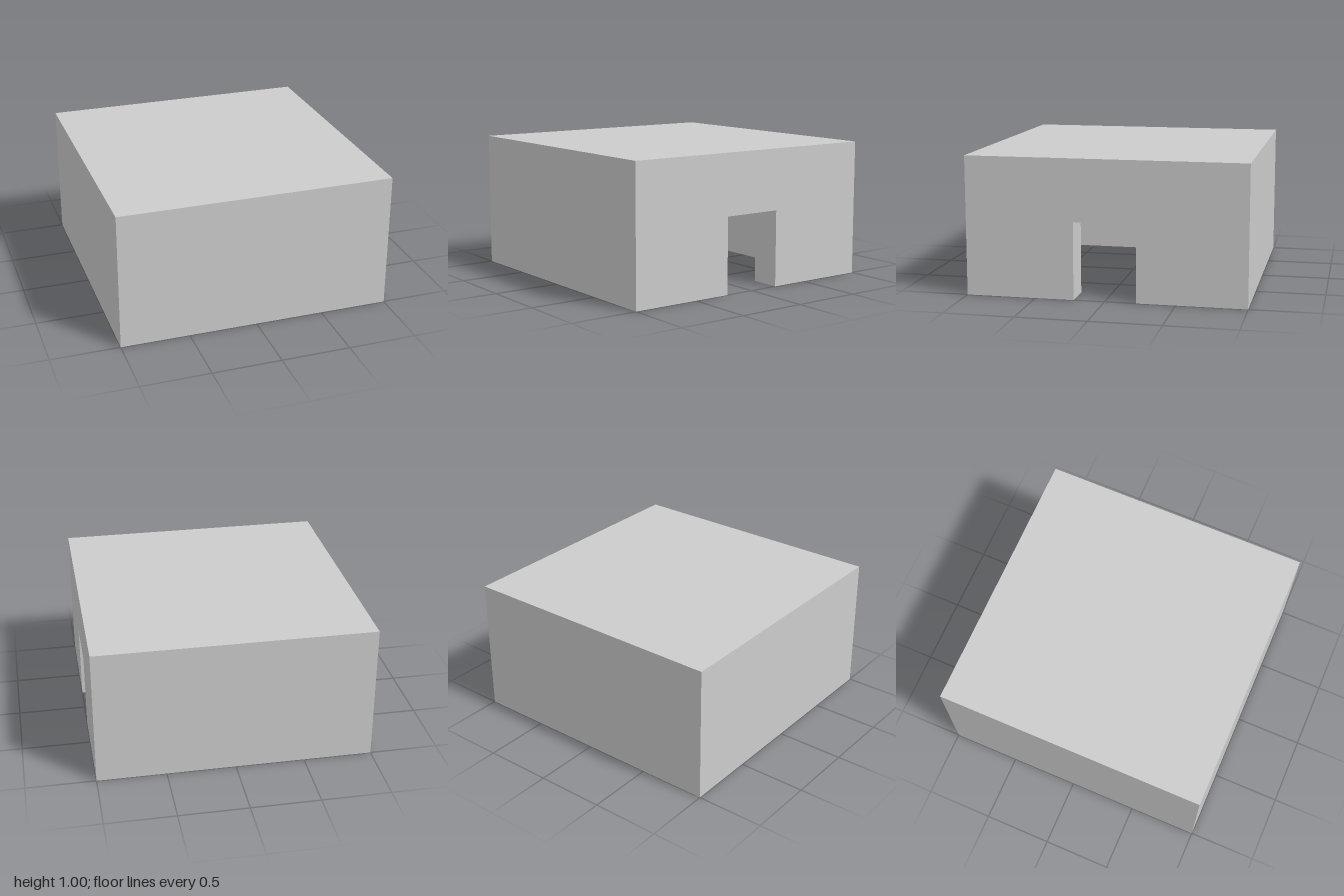
import * as THREE from 'three';
import { mergeGeometries } from 'three/addons/utils/BufferGeometryUtils.js';

const U = 2 / 9;              // wall and roof thickness
const HALF = 1;               // outer half width
const INNER = HALF - U;       // inner half width
const HEIGHT = 1;
const CEILING = HEIGHT - U;
const DOOR_HALF = U;
const DOOR_HEIGHT = 2.5 * U;

// Flat face from outline points in the xy plane, facing +z
function face(points) {
  return new THREE.ShapeGeometry(new THREE.Shape(points.map(([x, y]) => new THREE.Vector2(x, y))));
}

// Upright wall face standing on y = 0, with a doorway notch if wanted
function wallFace(half, height, door) {
  const notch = door
    ? [[-DOOR_HALF, 0], [-DOOR_HALF, DOOR_HEIGHT], [DOOR_HALF, DOOR_HEIGHT], [DOOR_HALF, 0]]
    : [];
  return face([[-half, 0], ...notch, [half, 0], [half, height], [-half, height]]);
}

// Four wall faces around the centre; the one towards +x holds the doorway
function wallRing(half, height, inward) {
  return [0, 1, 2, 3].map((k) => {
    const g = wallFace(half, height, k === 1);
    if (inward) g.rotateY(Math.PI);
    return g.translate(0, 0, half).rotateY((k * Math.PI) / 2);
  });
}

// Horizontal rectangle facing up (dir 1) or down (dir -1)
function level(width, depth, x, y, dir) {
  return new THREE.PlaneGeometry(width, depth).rotateX((-dir * Math.PI) / 2).translate(x, y, 0);
}

export function createModel() {
  const model = new THREE.Group();
  model.name = 'hollowBlock';
  const material = new THREE.MeshStandardMaterial({ color: 0xcccccc });

  const add = (name, geometries) => {
    const mesh = new THREE.Mesh(mergeGeometries(geometries), material);
    mesh.name = name;
    model.add(mesh);
  };

  // Outer walls and roof top
  add('outerWalls', wallRing(HALF, HEIGHT, false));
  add('roof', [level(2 * HALF, 2 * HALF, 0, HEIGHT, 1)]);

  // Hollow room
  add('innerWalls', wallRing(INNER, CEILING, true));
  add('ceiling', [level(2 * INNER, 2 * INNER, 0, CEILING, -1)]);

  // Underside of the walls, broken by the doorway
  const half = [[HALF, DOOR_HALF], [HALF, HALF], [-HALF, HALF]];
  const innerHalf = [[-INNER, INNER], [INNER, INNER], [INNER, DOOR_HALF]];
  const mirror = (points) => points.map(([x, z]) => [x, -z]).reverse();
  add('wallFeet', [
    face([...half, ...mirror(half), ...mirror(innerHalf), ...innerHalf]).rotateX(Math.PI / 2),
  ]);

  // Doorway sides and lintel
  const midX = (HALF + INNER) / 2;
  const jambs = [1, -1].map((side) =>
    new THREE.PlaneGeometry(U, DOOR_HEIGHT)
      .rotateY(side > 0 ? Math.PI : 0)
      .translate(midX, DOOR_HEIGHT / 2, side * DOOR_HALF));
  add('doorway', [...jambs, level(U, 2 * DOOR_HALF, midX, DOOR_HEIGHT, -1)]);

  return model;
}
